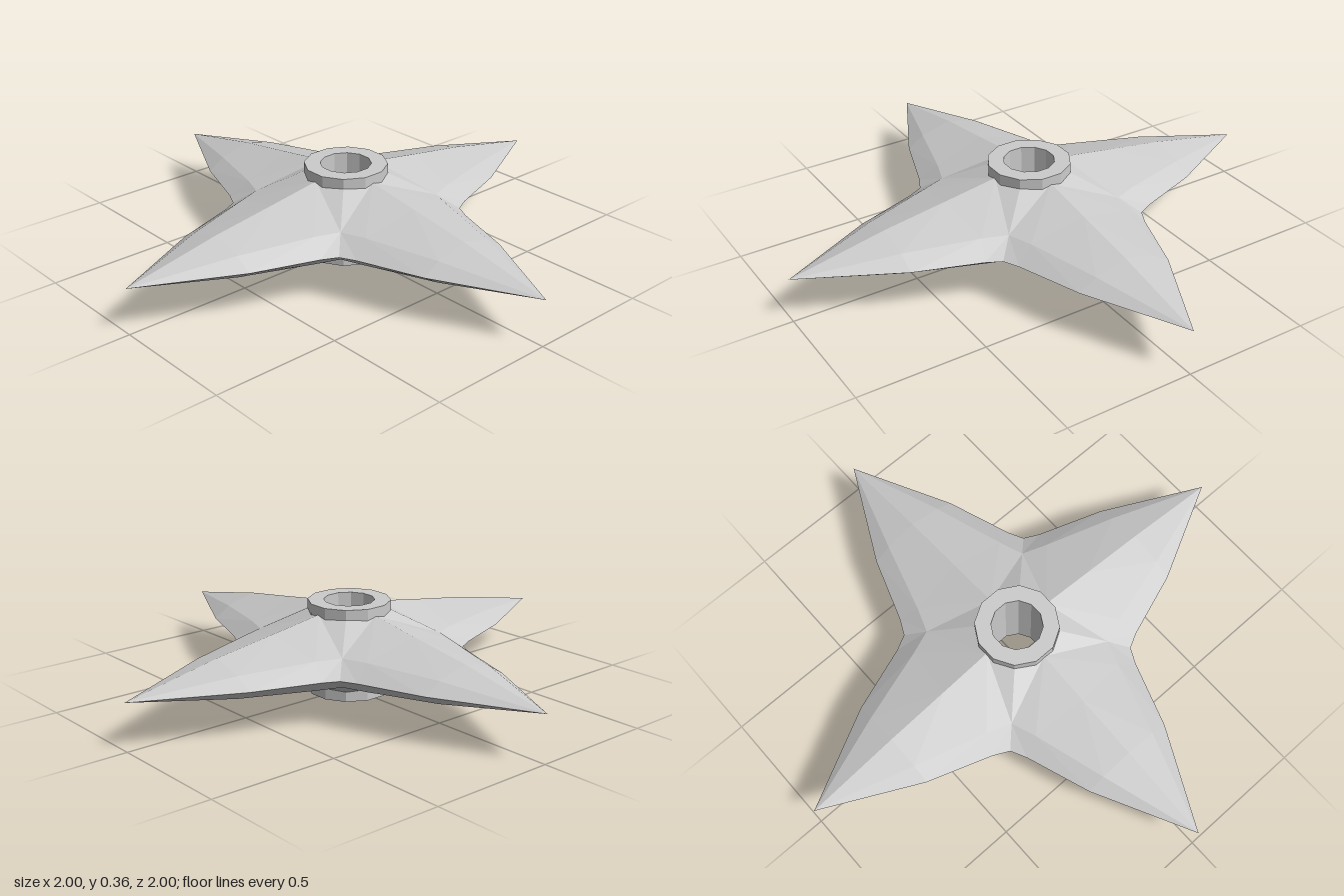
import * as THREE from 'three';

const MID = 0.18; // height of the cutting edge plane

// Key points of one half arm (arm along +x), y measured from the middle plane
const P = {
  hub: [0.15, 0.146, 0], ridge1: [0.365, 0.113, 0], ridge2: [0.62, 0.075, 0], tip: [1, 0, 0],
  shoulder1: [0.34, 0.055, 0.21], shoulder2: [0.62, 0.042, 0.125],
  edge1: [0.37, 0, 0.28], edge2: [0.62, 0, 0.193],
  valleyTop: [0.106, 0.146, 0.106], valley: [0.245, 0.055, 0.245], notch: [0.31, 0, 0.31],
};

// Facets of the half arm, as fans seen from above
const FACETS = [
  ['hub', 'shoulder1', 'ridge1'],
  ['hub', 'valleyTop', 'valley', 'shoulder1'],
  ['valley', 'notch', 'edge1', 'shoulder1'],
  ['ridge1', 'shoulder1', 'shoulder2', 'ridge2'],
  ['shoulder1', 'edge1', 'edge2', 'shoulder2'],
  ['ridge2', 'shoulder2', 'tip'],
  ['shoulder2', 'edge2', 'tip'],
];

// One arm: the half arm mirrored sideways and top to bottom
function armGeometry() {
  const pos = [];
  for (const sy of [1, -1]) {
    for (const sz of [1, -1]) {
      for (const f of FACETS) {
        for (let i = 1; i < f.length - 1; i++) {
          const tri = [f[0], f[i], f[i + 1]];
          if (sy * sz < 0) tri.reverse();
          for (const n of tri) pos.push(P[n][0], P[n][1] * sy, P[n][2] * sz);
        }
      }
    }
  }
  const g = new THREE.BufferGeometry();
  g.setAttribute('position', new THREE.Float32BufferAttribute(pos, 3));
  g.computeVertexNormals();
  return g;
}

export function createModel() {
  const group = new THREE.Group();
  const mat = new THREE.MeshStandardMaterial({ color: 0xcccccc, flatShading: true });

  // Four pointed blades
  const arm = armGeometry();
  for (let i = 0; i < 4; i++) {
    const blade = new THREE.Mesh(arm, mat);
    blade.name = 'blade' + (i + 1);
    blade.position.y = MID;
    blade.rotation.y = i * Math.PI / 2;
    group.add(blade);
  }

  // Twelve-sided collar with a bore right through the centre
  const outer = 0.16, inner = 0.098, h = 2 * MID;
  const profile = [[inner, 0], [outer, 0], [outer, h], [inner, h], [inner, 0]]
    .map(([r, y]) => new THREE.Vector2(r, y));
  const collar = new THREE.Mesh(new THREE.LatheGeometry(profile, 12, Math.PI / 12), mat);
  collar.name = 'hubCollar';
  group.add(collar);

  return group;
}
